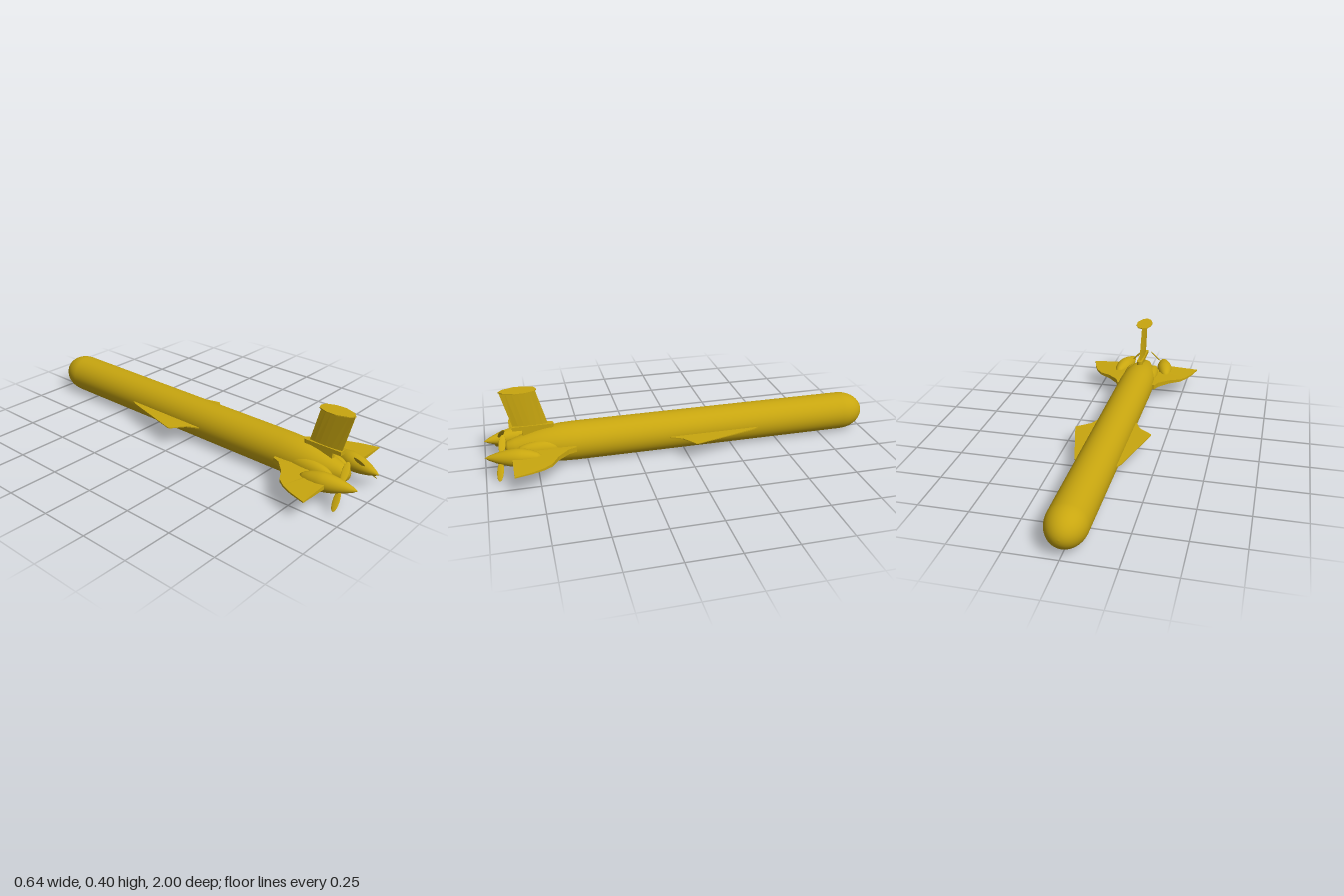
import * as THREE from 'three';

const hullYellow = new THREE.MeshStandardMaterial({ color: 0xc8a60f });
hullYellow.name = 'hull yellow';
const AXIS = 0.098; // height of the hull centreline

function add(parent, name, geometry, x = 0, y = 0, z = 0) {
  const mesh = new THREE.Mesh(geometry, hullYellow);
  mesh.name = name;
  mesh.position.set(x, y, z);
  parent.add(mesh);
  return mesh;
}

// Body of revolution along z from [radius, z] points, tail to nose order handled here
function revolve(points, segments = 48) {
  return new THREE.LatheGeometry(points.map(([r, z]) => new THREE.Vector2(r, z)), segments).rotateX(Math.PI / 2);
}

// Horizontal fin from an [x, z] outline, thinning from root to tip
function fin(outline, side, root, tip, x0, x1) {
  const shape = new THREE.Shape(outline.map(([x, z]) => new THREE.Vector2(x * side, z)));
  const g = new THREE.ExtrudeGeometry(shape, { depth: 1, bevelEnabled: false });
  g.translate(0, 0, -0.5).rotateX(Math.PI / 2);
  const p = g.attributes.position;
  for (let i = 0; i < p.count; i++) {
    const t = THREE.MathUtils.clamp((Math.abs(p.getX(i)) - x0) / (x1 - x0), 0, 1);
    p.setY(i, p.getY(i) * THREE.MathUtils.lerp(root, tip, t));
  }
  g.computeVertexNormals();
  return g;
}

export function createModel() {
  const model = new THREE.Group();
  model.name = 'underwaterVehicle';

  // Hull: rounded nose, long tube, tapered tail
  const profile = [];
  for (let i = 0; i <= 12; i++) {
    const a = (i / 12) * Math.PI / 2;
    profile.push([AXIS * Math.sin(a), -0.87 - 0.13 * Math.cos(a)]);
  }
  profile.push([AXIS, 0.55], [0.096, 0.62], [0.09, 0.68], [0.079, 0.74], [0.062, 0.8],
    [0.046, 0.85], [0.034, 0.885], [0.02, 0.897], [0, 0.9]);
  add(model, 'hull', revolve(profile, 64), 0, AXIS, 0);

  const wing = [[0.08, -0.38], [0.1, -0.38], [0.115, -0.35], [0.155, -0.2], [0.2, -0.03], [0.197, -0.02],
    [0.13, 0.03], [0.1, 0.09], [0.08, 0.09]];
  const tail = [[0.03, 0.56], [0.11, 0.56], [0.125, 0.6], [0.18, 0.655], [0.24, 0.69], [0.27, 0.73],
    [0.295, 0.785], [0.32, 0.87], [0.11, 0.87], [0.09, 0.8], [0.03, 0.8]];

  for (const side of [1, -1]) {
    const label = side > 0 ? 'left' : 'right';
    add(model, label + 'Wing', fin(wing, side, 0.006, 0.004, 0.1, 0.2), 0, 0.1, 0);
    add(model, label + 'Tailplane', fin(tail, side, 0.026, 0.006, 0.13, 0.32), 0, 0.1, 0);

    // Smooth root fairing between tailplane and hull
    const fairing = add(model, label + 'RootFairing', new THREE.SphereGeometry(1, 24, 16), side * 0.062, 0.1, 0.72);
    fairing.scale.set(0.038, 0.045, 0.13);

    // Thruster pod, toed in towards the stern
    const thruster = new THREE.Group();
    thruster.name = label + 'Thruster';
    thruster.position.set(side * 0.119, 0.1, 0.86);
    thruster.rotation.y = -side * 0.208;
    model.add(thruster);
    add(thruster, 'pod', revolve([[0, -0.132], [0.012, -0.128], [0.024, -0.112], [0.036, -0.08], [0.044, -0.04],
      [0.045, -0.015], [0.042, 0.015], [0.035, 0.05], [0.025, 0.085], [0.012, 0.12], [0, 0.141]], 32));

    // Two blades, edge-on to the flow
    const propeller = new THREE.Group();
    propeller.name = 'propeller';
    propeller.position.z = 0.062;
    propeller.rotation.z = side * Math.PI / 4;
    thruster.add(propeller);
    for (const end of [1, -1]) {
      const blade = add(propeller, 'blade', new THREE.SphereGeometry(1, 16, 12), 0, end * 0.067, 0);
      blade.scale.set(0.0035, 0.05, 0.017);
      blade.rotation.y = end * 0.2;
    }
  }

  // Swept mast with lens-shaped section, narrowing upward
  const mast = new THREE.BoxGeometry(1, 1, 1, 2, 1, 6).toNonIndexed();
  const p = mast.attributes.position;
  for (let i = 0; i < p.count; i++) {
    const t = p.getY(i) + 0.5;
    const c = p.getZ(i);
    const half = THREE.MathUtils.lerp(0.011, 0.004, t) * (1 - 2.6 * c * c);
    p.setXYZ(i, p.getX(i) * 2 * half, 0.195 + 0.198 * t, 0.765 + 0.053 * t + c * 0.17);
  }
  mast.computeVertexNormals();
  add(model, 'mast', mast);

  // Mast foot: rail with a rounded front end
  add(model, 'mastFoot', new THREE.BoxGeometry(0.034, 0.02, 0.185), 0, 0.199, 0.765);
  add(model, 'mastFootNose', new THREE.CylinderGeometry(0.017, 0.017, 0.02, 20), 0, 0.199, 0.672);
  add(model, 'mastPedestal', new THREE.BoxGeometry(0.02, 0.04, 0.14), 0, 0.175, 0.74);

  // Flat cap on the mast
  const cap = [[0, 0.905], [0.025, 0.885], [0.045, 0.83], [0.043, 0.78], [0.025, 0.735], [0, 0.725]];
  const outline = [...cap, ...cap.slice(1, -1).reverse().map(([x, z]) => [-x, z])];
  add(model, 'mastCap', fin(outline, 1, 0.005, 0.005, 0, 1), 0, 0.393, 0);

  return model;
}
